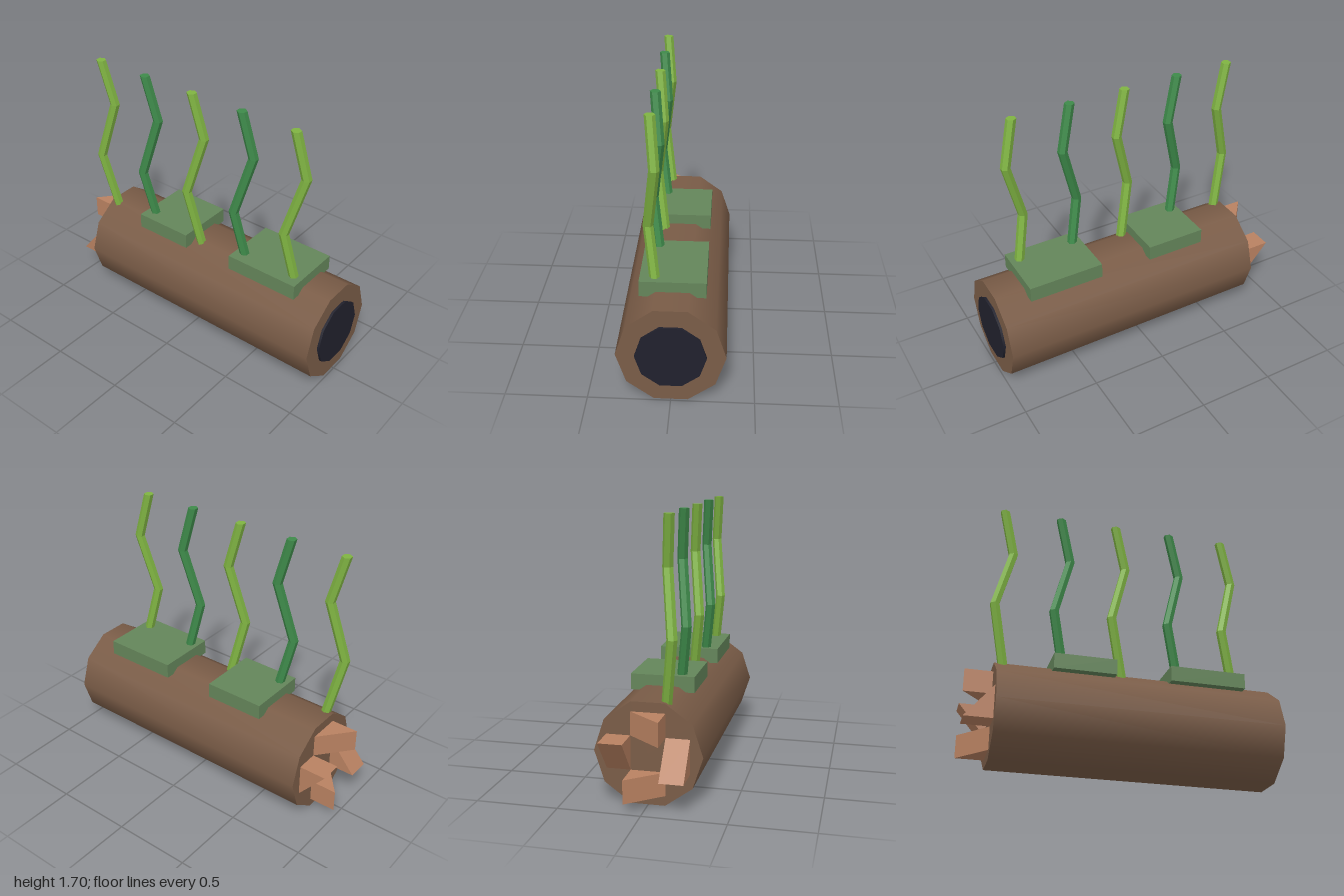
import * as THREE from 'three';

const mat = (name, color) => {
  const m = new THREE.MeshStandardMaterial({ color });
  m.name = name;
  return m;
};

export function createModel() {
  const model = new THREE.Group();
  model.name = 'hollowLog';

  const bark = mat('bark', 0x7a5c47);
  const hollowDark = mat('hollowDark', 0x21212d);
  const splinterWood = mat('splinterWood', 0xb98161);
  const moss = mat('moss', 0x64855a);
  const lightWeed = mat('lightWeed', 0x7fb342);
  const darkWeed = mat('darkWeed', 0x3e8a4a);

  const add = (name, geometry, material, x = 0, y = 0, z = 0) => {
    const mesh = new THREE.Mesh(geometry, material);
    mesh.name = name;
    mesh.position.set(x, y, z);
    model.add(mesh);
    return mesh;
  };

  const axisY = 0.312, front = 0.985, back = -0.825;

  // Ten-sided cylinder lying along z, with a flat side down
  const lyingCylinder = (r, length) =>
    new THREE.CylinderGeometry(r, r, length, 10, 1, false, Math.PI / 10).rotateX(Math.PI / 2);

  // Log and the dark hollow at its front end
  add('log', lyingCylinder(0.327, front - back), bark, 0, axisY, (front + back) / 2);
  add('hollow', lyingCylinder(0.213, 0.03), hollowDark, 0, axisY, 0.985);

  // Pinwheel of four broken wedges at the back end
  const profile = new THREE.Shape([
    new THREE.Vector2(-0.105, 0),
    new THREE.Vector2(0.105, 0),
    new THREE.Vector2(-0.105, 0.175),
  ]);
  const wedge = new THREE.ExtrudeGeometry(profile, { depth: 0.145, bevelEnabled: false });
  wedge.rotateX(-Math.PI / 2).translate(0, 0.105, 0);
  for (let i = 0; i < 4; i++) {
    add('splinter', wedge, splinterWood, 0, axisY, back).rotation.z = -i * Math.PI / 2;
  }

  // Moss patches on top
  add('mossPatch', new THREE.BoxGeometry(0.4, 0.1, 0.5), moss, 0, 0.64, 0.535);
  add('mossPatch', new THREE.BoxGeometry(0.4, 0.1, 0.4), moss, 0, 0.64, -0.27);

  // Zigzag weed stalk: a six-sided tube whose rings are shifted onto a bent path
  const path = [
    [-0.1, 0.6, 0],
    [-0.15, 1.0, -0.08],
    [-0.102, 1.395, 0.025],
    [-0.128, 1.7, -0.048],
  ];
  const bent = new THREE.CylinderGeometry(0.032, 0.032, 1, 6, 3, false, Math.PI / 6);
  const pos = bent.attributes.position;
  for (let i = 0; i < pos.count; i++) {
    const [x, y, z] = path[Math.round((pos.getY(i) + 0.5) * 3)];
    pos.setXYZ(i, pos.getX(i) + x, y, pos.getZ(i) + z);
  }
  const stalk = bent.toNonIndexed();
  stalk.computeVertexNormals();
  for (let i = 0; i < 5; i++) {
    add('weedStalk', stalk, i % 2 ? darkWeed : lightWeed, 0, 0, 0.738 - i * 0.377);
  }

  return model;
}
